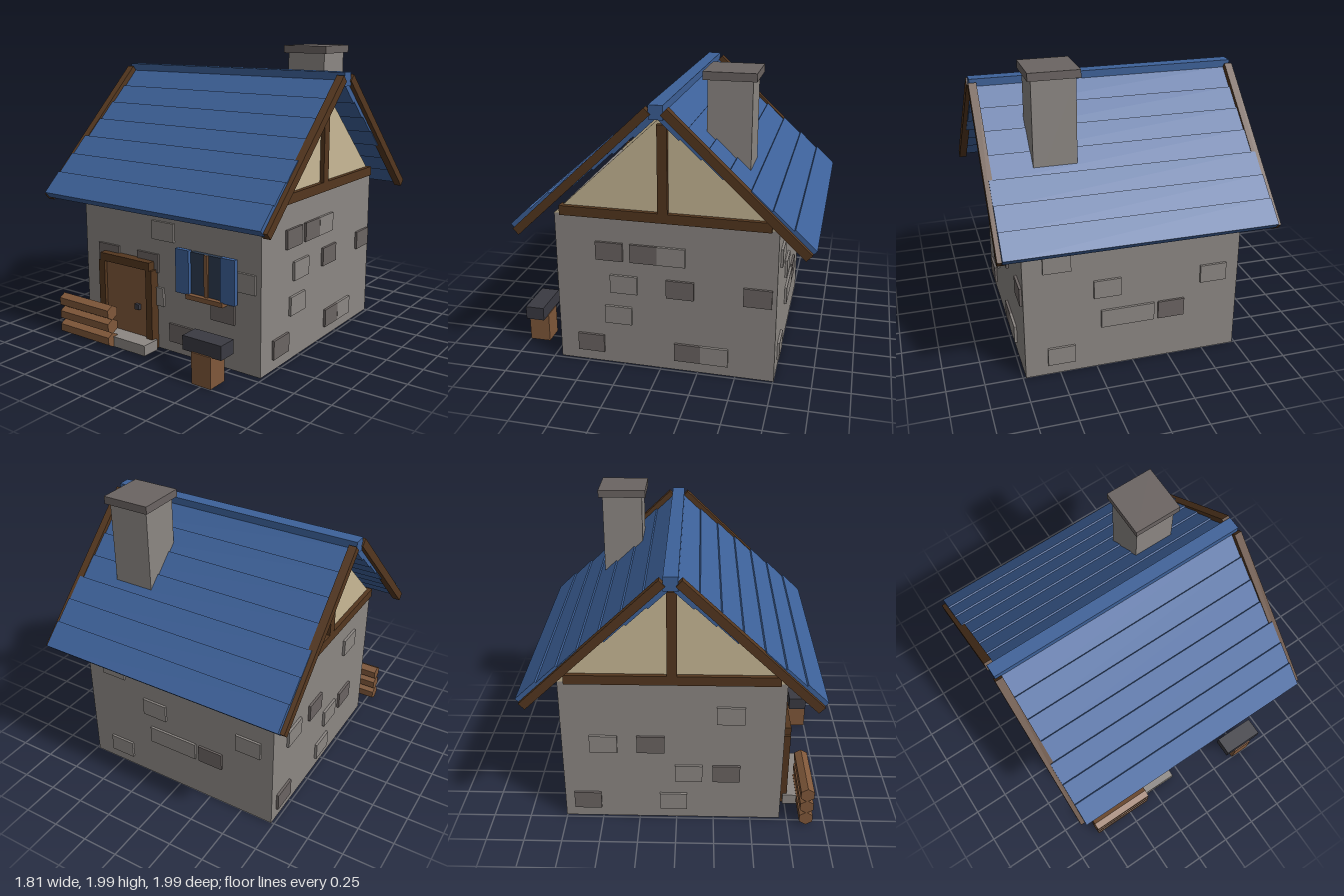
import * as THREE from 'three';

const mat = (name, color) => {
  const m = new THREE.MeshStandardMaterial({ color });
  m.name = name;
  return m;
};

export function createModel() {
  const stone = mat('stone', 0x8c8783);
  const darkStone = mat('dark stone', 0x6b6462);
  const plaster = mat('plaster', 0xc9b996);
  const roofBlue = mat('roof blue', 0x3d6199);
  const darkWood = mat('dark wood', 0x54371f);
  const wood = mat('wood', 0x80583a);
  const iron = mat('iron', 0x3a3a42);
  const glass = mat('glass', 0x2d3c50);

  const root = new THREE.Group();
  root.name = 'cottage';
  const add = (name, geo, material, parent = root) => {
    const m = new THREE.Mesh(geo, material);
    m.name = name;
    parent.add(m);
    return m;
  };
  // box given by its min and max on each axis
  const box = (name, material, [x0, x1], [y0, y1], [z0, z1], parent = root) => {
    const m = add(name, new THREE.BoxGeometry(x1 - x0, y1 - y0, z1 - z0), material, parent);
    m.position.set((x0 + x1) / 2, (y0 + y1) / 2, (z0 + z1) / 2);
    return m;
  };

  const CZ = -0.027; // centre line of the house
  box('walls', stone, [-0.73, 0.73], [0, 1.055], [-0.754, 0.70]);

  // raised wall stones: [position along wall, row, dark]
  const rows = [0.82, 0.593, 0.367, 0.138];
  const stones = {
    front: [[-0.026, 0, 0], [-0.51, 1, 1], [-0.158, 1, 1], [0.605, 1, 0],
      [-0.118, 2, 0], [0.45, 2, 1], [0.11, 3, 1]],
    back: [[0.51, 0, 0], [0.18, 1, 0], [-0.55, 1, 0], [0.13, 2, 0],
      [-0.05, 2, 0], [-0.26, 2, 1], [0.49, 3, 0]],
    left: [[0.336, 0, 1], [0.107, 0, 1], [-0.075, 0, 0], [0.243, 1, 0], [-0.132, 1, 1],
      [-0.634, 1, 1], [0.283, 2, 0], [0.48, 3, 1], [-0.185, 3, 1], [-0.36, 3, 0]],
    right: [[0.35, 0, 0], [-0.48, 1, 0], [-0.17, 1, 1], [0.08, 2, 0],
      [0.33, 2, 1], [-0.60, 3, 1], [-0.02, 3, 0]],
  };
  for (const [side, list] of Object.entries(stones)) {
    for (const [p, row, dark] of list) {
      const alongX = side === 'front' || side === 'back';
      const t = dark ? 0.03 : 0.032;
      const m = add(side + 'WallStone',
        new THREE.BoxGeometry(alongX ? 0.182 : t, 0.125, alongX ? t : 0.182),
        dark ? darkStone : stone);
      if (alongX) m.position.set(p, rows[row], side === 'front' ? 0.70 : -0.754);
      else m.position.set(side === 'left' ? 0.732 : -0.732, rows[row], p);
    }
  }

  // gables with timber beams
  const tri = new THREE.Shape([
    new THREE.Vector2(-0.727, 1.055), new THREE.Vector2(0.727, 1.055), new THREE.Vector2(0, 1.738),
  ]);
  const gableGeo = new THREE.ExtrudeGeometry(tri, { depth: 0.03, bevelEnabled: false });
  gableGeo.translate(0, 0, -0.015).rotateY(-Math.PI / 2);
  for (const s of [-1, 1]) {
    add('gable', gableGeo, plaster).position.set(s * 0.715, 0, CZ);
    const xr = [s * 0.73 - 0.03, s * 0.73 + 0.03];
    box('tieBeam', darkWood, xr, [1.053, 1.117], [CZ - 0.682, CZ + 0.682]);
    box('kingPost', darkWood, xr, [1.055, 1.685], [CZ - 0.032, CZ + 0.032]);
  }

  // two roof slopes of overlapping boards, edged by bargeboards
  const pitch = THREE.MathUtils.degToRad(43.5);
  const boardT = 0.055;
  for (const turn of [0, Math.PI]) {
    const slope = new THREE.Group();
    slope.name = turn ? 'backSlope' : 'frontSlope';
    slope.position.z = CZ;
    slope.rotation.y = turn;
    root.add(slope);
    for (let i = 0; i < 7; i++) {
      const m = add('roofBoard', new THREE.BoxGeometry(1.75, boardT, 0.182), roofBlue, slope);
      m.rotation.x = pitch;
      m.position.set(0, 1.731 - 0.1095 * i - Math.cos(pitch) * boardT / 2,
        0.1055 + 0.132 * i - Math.sin(pitch) * boardT / 2);
    }
    for (const s of [-1, 1]) {
      const m = add('bargeboard', new THREE.BoxGeometry(0.052, 0.055, 1.202), darkWood, slope);
      m.rotation.x = pitch;
      m.position.set(s * 0.878, 1.387, 0.485);
    }
  }
  box('ridgeBeam', roofBlue, [-0.895, 0.895], [1.75, 1.838], [CZ - 0.044, CZ + 0.044]);

  // chimney
  box('chimney', stone, [0.313, 0.592], [1.2, 1.94], [-0.546, -0.27]);
  box('chimneyCap', darkStone, [0.29, 0.616], [1.937, 1.988], [-0.572, -0.244]);

  // door
  const door = new THREE.Group();
  door.name = 'door';
  root.add(door);
  box('doorPanel', wood, [-0.51, -0.13], [0, 0.555], [0.69, 0.742], door);
  box('leftDoorPost', darkWood, [-0.137, -0.086], [0, 0.55], [0.70, 0.765], door);
  box('rightDoorPost', darkWood, [-0.558, -0.505], [0, 0.55], [0.70, 0.765], door);
  box('lintel', darkWood, [-0.54, -0.104], [0.55, 0.605], [0.70, 0.767], door);
  box('doorHandle', iron, [-0.24, -0.203], [0.258, 0.295], [0.735, 0.765], door);
  box('doorStep', stone, [-0.576, -0.068], [0, 0.072], [0.735, 0.868]);

  // shuttered window
  const win = new THREE.Group();
  win.name = 'window';
  root.add(win);
  box('windowPane', glass, [0.22, 0.467], [0.45, 0.73], [0.69, 0.733], win);
  box('mullion', wood, [0.331, 0.359], [0.45, 0.73], [0.70, 0.745], win);
  box('windowSill', wood, [0.198, 0.488], [0.424, 0.455], [0.70, 0.765], win);
  for (const x of [0.113, 0.467]) box('shutter', roofBlue, [x, x + 0.106], [0.45, 0.742], [0.725, 0.757], win);

  // stacked logs
  const logGeo = new THREE.CylinderGeometry(0.051, 0.051, 0.455, 6).toNonIndexed();
  logGeo.rotateY(Math.PI / 6).rotateZ(Math.PI / 2);
  logGeo.computeVertexNormals();
  for (const y of [0.051, 0.147, 0.243]) add('log', logGeo, wood).position.set(-0.568, y, 0.873);

  // anvil on a stump
  box('stump', wood, [0.426, 0.57], [0, 0.205], [0.857, 1.0]);
  box('anvil', iron, [0.351, 0.642], [0.2, 0.292], [0.862, 0.99]);

  return root;
}
